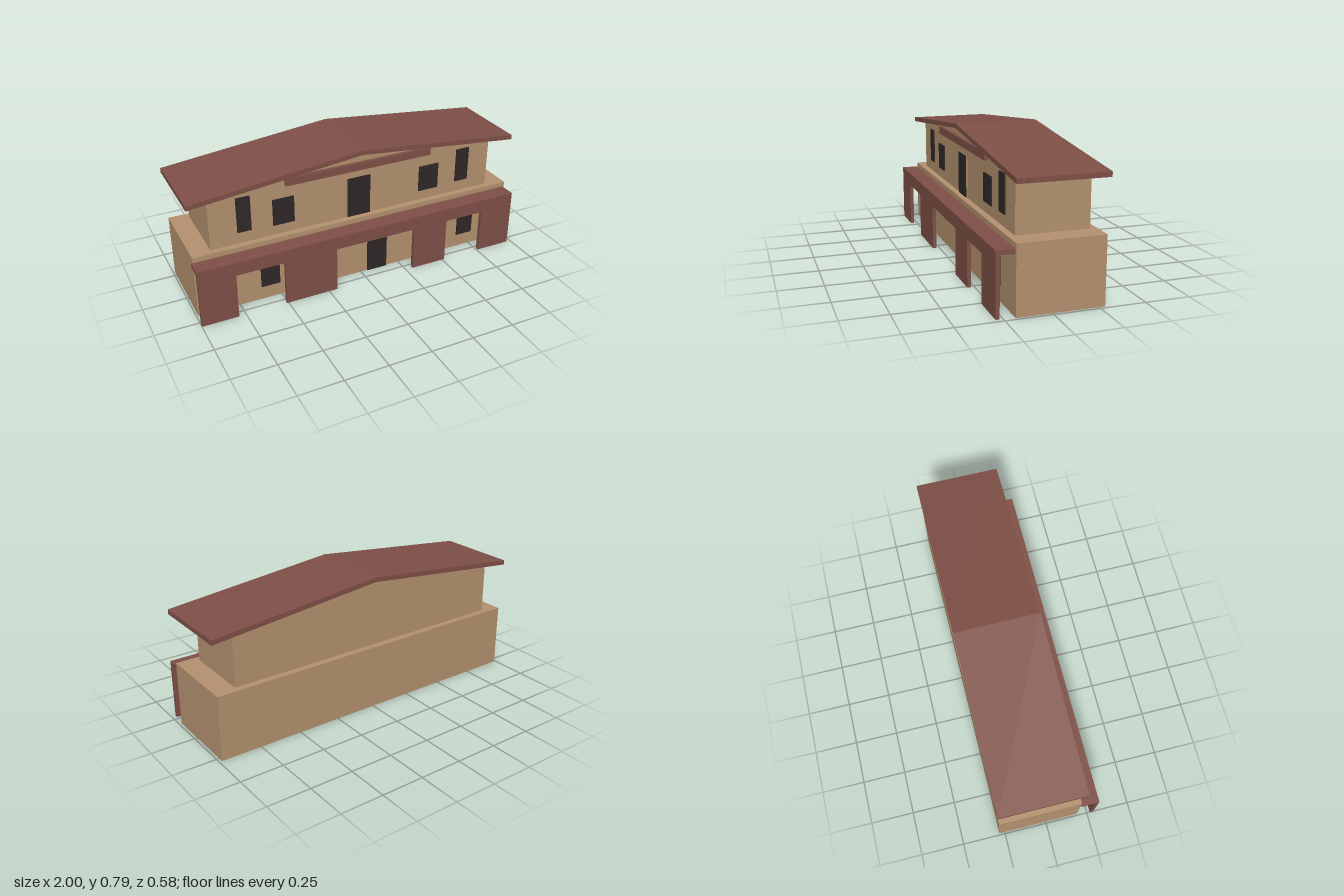
import * as THREE from 'three';

const mat = (color) => new THREE.MeshStandardMaterial({ color, flatShading: true });
const wall = mat(0xb4926f);
wall.side = THREE.DoubleSide;
const red = mat(0x7f5047);
const dark = mat(0x302828);

export function createModel() {
  const house = new THREE.Group();
  house.name = 'house';

  const add = (name, geometry, material) => {
    const mesh = new THREE.Mesh(geometry, material);
    mesh.name = name;
    house.add(mesh);
    return mesh;
  };
  // Box given by its minimum and maximum corners
  const box = (name, material, x0, x1, y0, y1, z0, z1) => {
    const g = new THREE.BoxGeometry(x1 - x0, y1 - y0, z1 - z0);
    g.translate((x0 + x1) / 2, (y0 + y1) / 2, (z0 + z1) / 2);
    return add(name, g, material);
  };
  // Outline in x and y, extruded from z0 to z1
  const prism = (name, material, points, z0, z1) => {
    const shape = new THREE.Shape(points.map(([x, y]) => new THREE.Vector2(x, y)));
    const g = new THREE.ExtrudeGeometry(shape, { depth: z1 - z0, bevelEnabled: false });
    g.translate(0, 0, z0);
    return add(name, g, material);
  };

  // Ground floor: a shell open underneath
  const ground = box('groundFloor', wall, -0.99, 0.985, 0, 0.373, -0.282, 0.19);
  const index = Array.from(ground.geometry.index.array);
  index.splice(18, 6); // remove the bottom face
  ground.geometry.setIndex(index);
  ground.geometry.clearGroups();

  // Upper floor with its gable following the roof underside
  prism('upperFloor', wall, [
    [-0.88, 0.373], [0.865, 0.373], [0.865, 0.676], [0, 0.766], [-0.88, 0.674],
  ], -0.245, 0.153);

  // Shallow pitched roof slab
  prism('roof', red, [
    [-1, 0.661], [0, 0.766], [1, 0.661], [1, 0.688], [0, 0.793], [-1, 0.688],
  ], -0.289, 0.197);

  box('gableBeam', red, -0.445, 0.45, 0.664, 0.708, 0.15, 0.174);

  // Porch: canopy and front screen with three openings
  box('porchCanopy', red, -1, 0.975, 0.32, 0.344, 0.188, 0.27);
  prism('porchScreen', red, [
    [-1, 0], [-0.79, 0], [-0.79, 0.266], [-0.51, 0.266], [-0.51, 0],
    [-0.2, 0], [-0.2, 0.266], [0.295, 0.266], [0.295, 0], [0.515, 0],
    [0.515, 0.266], [0.76, 0.266], [0.76, 0], [0.975, 0], [0.975, 0.344], [-1, 0.344],
  ], 0.268, 0.289);

  // Ground floor openings, passing through the wall
  for (const [name, x0, x1, y0, y1] of [
    ['groundWindow', -0.62, -0.51, 0.083, 0.241],
    ['groundDoor', 0.04, 0.165, 0.002, 0.23],
    ['groundWindow', 0.655, 0.76, 0.083, 0.241],
  ]) box(name, dark, x0, x1, y0, y1, 0.182, 0.198);
  box('innerSideWindow', dark, -0.987, -0.975, 0.12, 0.28, -0.03, 0.1);

  // Upper floor openings
  for (const [name, x0, x1, y0, y1] of [
    ['tallWindow', -0.725, -0.645, 0.441, 0.649],
    ['upperWindow', -0.52, -0.395, 0.433, 0.59],
    ['upperDoor', -0.073, 0.07, 0.374, 0.617],
    ['upperWindow', 0.39, 0.518, 0.433, 0.59],
    ['tallWindow', 0.64, 0.725, 0.441, 0.649],
  ]) box(name, dark, x0, x1, y0, y1, 0.147, 0.16);
  box('upperDoorFrame', wall, -0.076, 0.08, 0.374, 0.619, 0.149, 0.157);

  return house;
}
